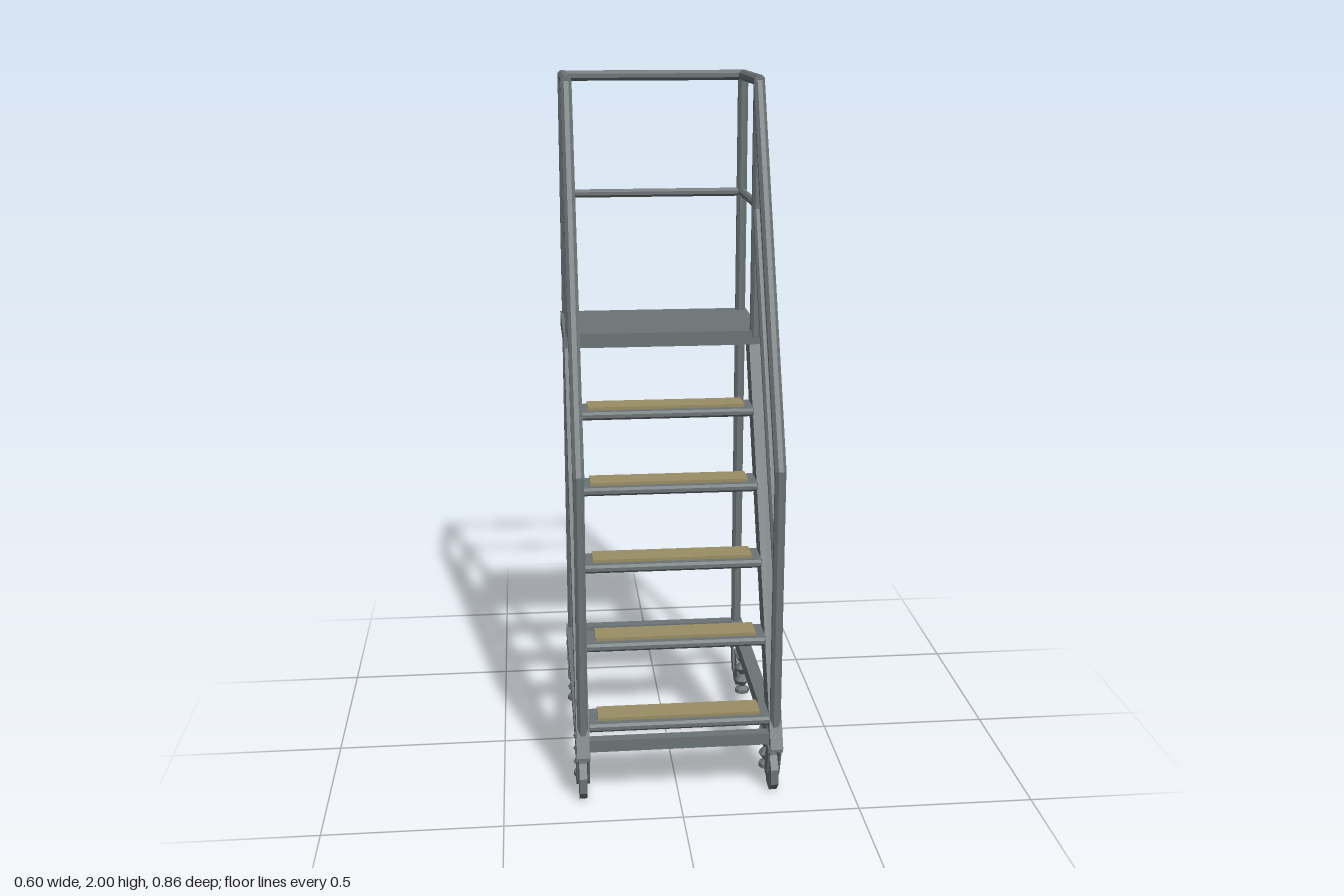
import * as THREE from 'three';

export function createModel() {
  const model = new THREE.Group();
  const steel = new THREE.MeshStandardMaterial({ color: 0x6c7476 });
  steel.name = 'grey steel';
  const grip = new THREE.MeshStandardMaterial({ color: 0x9a8e64 });
  grip.name = 'tan grip';

  const add = (name, geo, mat = steel, parent = model) => {
    const flat = geo.index ? geo.toNonIndexed() : geo;
    flat.computeVertexNormals();
    const mesh = new THREE.Mesh(flat, mat);
    mesh.name = name;
    parent.add(mesh);
    return mesh;
  };
  const box = (name, size, pos, mat = steel, parent = model) => {
    const mesh = add(name, new THREE.BoxGeometry(...size), mat, parent);
    mesh.position.set(...pos);
    return mesh;
  };
  // Eight-sided tube between two points, with a flat facet on each axis
  const tube = (name, a, b, width) => {
    const from = new THREE.Vector3(...a), to = new THREE.Vector3(...b);
    const r = width / 2 / Math.cos(Math.PI / 8);
    const geo = new THREE.CylinderGeometry(r, r, from.distanceTo(to), 8);
    geo.rotateY(Math.PI / 8);
    const mesh = add(name, geo);
    mesh.position.copy(from).add(to).multiplyScalar(0.5);
    mesh.quaternion.setFromUnitVectors(new THREE.Vector3(0, 1, 0), to.sub(from).normalize());
    return mesh;
  };
  // Side outline given as [z, y] points, extruded across x and centred on x
  const sidePlate = (name, points, thickness, x, parent = model) => {
    const shape = new THREE.Shape(points.map(([z, y]) => new THREE.Vector2(-z, y)));
    const geo = new THREE.ExtrudeGeometry(shape, { depth: thickness, bevelEnabled: false });
    geo.translate(0, 0, -thickness / 2);
    geo.rotateY(Math.PI / 2);
    const mesh = add(name, geo, steel, parent);
    mesh.position.x = x;
    return mesh;
  };

  // Platform
  box('platform', [0.588, 0.042, 0.345], [0, 1.24, -0.26]);

  // Base frame cross members
  box('baseFrontBar', [0.51, 0.035, 0.03], [0, 0.18, 0.385]);
  box('baseRearBar', [0.58, 0.04, 0.034], [0, 0.18, -0.413]);

  // Rear guard rails
  const X = 0.274, rear = -0.41, mid = -0.098, front = 0.388;
  tube('rearTopRail', [-X, 1.985, rear], [X, 1.985, rear], 0.03);
  tube('rearMidRail', [-X, 1.632, rear], [X, 1.632, rear], 0.024);

  // Adjustable foot profile: threaded stem with stacked nuts over a pad
  const footProfile = [
    [0, 0.014], [0.023, 0.014], [0.023, 0.026], [0.009, 0.036], [0.024, 0.057],
    [0.009, 0.078], [0.024, 0.1], [0.009, 0.12], [0.024, 0.14], [0.012, 0.152], [0.012, 0.165],
  ].map(([r, y]) => new THREE.Vector2(r, y));

  for (const side of [-1, 1]) {
    const x = side * X;

    // Uprights and guard rails
    tube('rearPost', [x, 0.19, rear], [x, 1.99, rear], 0.03);
    tube('platformPost', [x, 1.24, mid], [x, 1.99, mid], 0.03);
    tube('frontPost', [x, 0.19, front], [x, 0.975, front], 0.03);
    tube('sideTopRail', [x, 1.985, -0.43], [x, 1.985, -0.083], 0.03);
    tube('sideMidRail', [x, 1.632, rear], [x, 1.632, mid], 0.024);
    tube('handrail', [x, 0.965, front], [x, 1.98, mid], 0.032);
    tube('stairMidRail', [x, 0.63, front], [x, 1.625, mid], 0.024);

    // Base side rail and sloping stair stringer
    box('baseSideRail', [0.04, 0.04, 0.83], [x, 0.18, -0.015]);
    sidePlate('stringer', [[0.43, 0.16], [0.35, 0.16], [-0.165, 1.225], [-0.09, 1.225]], 0.036, x);

    for (const end of [-1, 1]) {
      // Caster with forked arms
      const caster = new THREE.Group();
      caster.name = 'caster';
      caster.position.set(x, 0, 0);
      model.add(caster);
      const wheelZ = end * 0.348, plateZ = end * 0.376;
      const wheel = new THREE.CylinderGeometry(0.059, 0.059, 0.022, 8);
      wheel.rotateY(Math.PI / 8);
      wheel.rotateZ(Math.PI / 2);
      add('wheel', wheel, steel, caster).position.set(0, 0.057, wheelZ);
      box('casterPlate', [0.042, 0.014, 0.058], [0, 0.145, plateZ], steel, caster);
      tube('casterStem', [x, 0.14, plateZ], [x, 0.17, plateZ], 0.026);
      for (const arm of [-1, 1]) {
        const outline = [[0.4, 0.14], [0.355, 0.14], [0.331, 0.055], [0.336, 0.043], [0.36, 0.043], [0.371, 0.058]];
        const points = outline.map(([z, y]) => [z * end, y]);
        sidePlate('forkArm', points, 0.006, arm * 0.016, caster);
      }

      // Levelling foot
      add('levellingFoot', new THREE.LatheGeometry(footProfile, 8)).position.set(x, 0, end * 0.25);
    }
  }

  // Steps: steel tread with a raised lip at each edge and a tan grip strip
  for (let i = 0; i < 5; i++) {
    const y = 0.24 + i * 0.2, z = 0.353 - i * 0.0975;
    box('stepTread', [0.515, 0.022, 0.094], [0, y, z]);
    for (const edge of [-1, 1]) {
      tube('stepNosing', [-0.255, y - 0.002, z + edge * 0.043], [0.255, y - 0.002, z + edge * 0.043], 0.024);
    }
    box('stepGrip', [0.46, 0.009, 0.074], [0, y + 0.0155, z - 0.005], grip);
  }

  return model;
}
